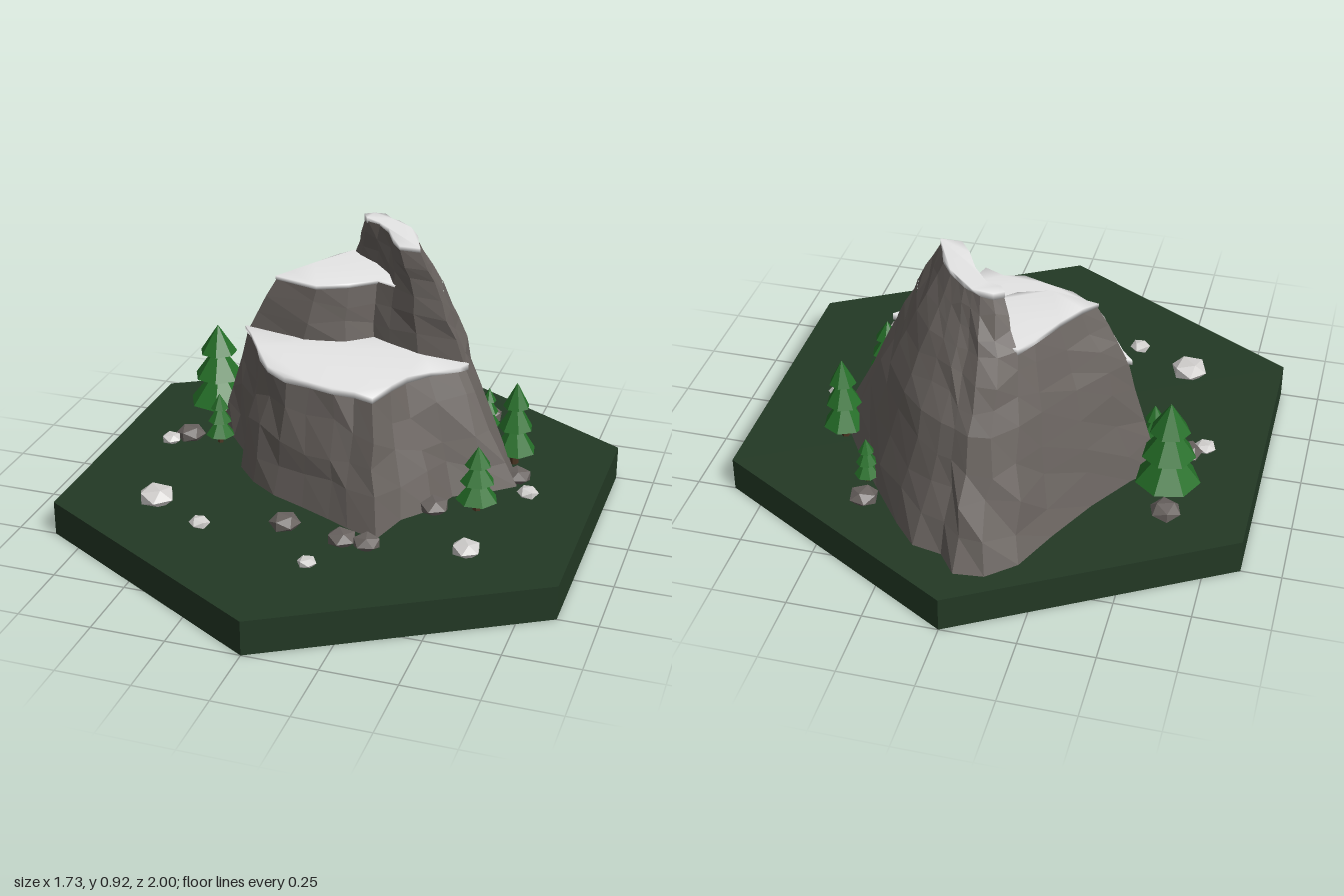
import * as THREE from 'three';
import { mergeVertices } from 'three/addons/utils/BufferGeometryUtils.js';

const mat = (name, color) => Object.assign(new THREE.MeshStandardMaterial({ color }), { name });

export function createModel() {
  const grass = mat('darkGrass', 0x233925);
  const rock = mat('rock', 0x6a6460);
  const snow = mat('snow', 0xf0f0f0);
  const paleStone = mat('paleStone', 0xd2d0ce);
  const greyStone = mat('greyStone', 0x696360);
  const leaf = mat('pineGreen', 0x256f28);
  const bark = mat('bark', 0x4a3522);

  const GROUND = 0.12;
  let seed = 11;
  const rand = () => (seed = (seed * 16807) % 2147483647) / 2147483647;
  const jit = (a) => (rand() - 0.5) * 2 * a;
  const root = new THREE.Group();
  root.name = 'mountainTile';

  const add = (name, geo, material, parent = root) => {
    const m = new THREE.Mesh(geo, material);
    m.name = name;
    parent.add(m);
    return m;
  };
  // Hard-edged facets
  const facet = (geo) => {
    const g = geo.index ? geo.toNonIndexed() : geo;
    g.computeVertexNormals();
    return g;
  };

  // Rock wall between two matching outlines, with roughened rows in between
  function wall(low, high, y0, y1, rows, rough) {
    const n = low.length, pos = [], idx = [];
    for (let r = 0; r <= rows; r++) {
      const inner = r > 0 && r < rows;
      for (let i = 0; i < n; i++) {
        const t = r / rows + (inner ? jit(0.25 / rows) : 0);
        const k = inner ? rough : 0;
        pos.push(
          THREE.MathUtils.lerp(low[i][0], high[i][0], t) + jit(k),
          THREE.MathUtils.lerp(y0, y1, t),
          THREE.MathUtils.lerp(low[i][1], high[i][1], t) + jit(k));
      }
    }
    for (let r = 0; r < rows; r++) {
      for (let i = 0; i < n; i++) {
        const a = r * n + i, b = r * n + (i + 1) % n;
        idx.push(a, b, a + n, b, b + n, a + n);
      }
    }
    const g = new THREE.BufferGeometry();
    g.setAttribute('position', new THREE.Float32BufferAttribute(pos, 3));
    g.setIndex(idx);
    return facet(g);
  }

  // Soft snow slab laid on an outline, slightly overhanging
  function slab(outline, y, thick, grow) {
    const cx = outline.reduce((s, p) => s + p[0], 0) / outline.length;
    const cz = outline.reduce((s, p) => s + p[1], 0) / outline.length;
    const shape = new THREE.Shape(outline.map(([x, z]) =>
      new THREE.Vector2(cx + (x - cx) * grow, -(cz + (z - cz) * grow))));
    let g = new THREE.ExtrudeGeometry(shape, { depth: thick, bevelEnabled: false });
    g.rotateX(-Math.PI / 2);
    g.translate(0, y, 0);
    g.deleteAttribute('uv');
    g.deleteAttribute('normal');
    g = mergeVertices(g);
    const p = g.attributes.position;
    for (let i = 0; i < p.count; i++) p.setY(i, p.getY(i) + jit(0.005));
    g.computeVertexNormals();
    return g;
  }

  // Hexagonal ground
  add('ground', facet(new THREE.CylinderGeometry(1, 1, GROUND, 6).translate(0, GROUND / 2, 0)), grass);

  // Outlines as [x, z], running from the front round by +x
  const foot = [[.05, .32], [.13, .36], [.24, .4], [.28, .25], [.36, .15], [.4, .04], [.52, -.04],
    [.59, -.1], [.55, -.22], [.45, -.38], [.35, -.52], [.23, -.68], [.15, -.77], [.05, -.79],
    [-.01, -.87], [-.11, -.86], [-.2, -.78], [-.27, -.62], [-.36, -.44], [-.46, -.28],
    [-.53, -.2], [-.47, -.15], [-.38, -.04], [-.36, .06], [-.28, .15], [-.18, .22], [-.06, .27]];
  const ledge = [[.03, .21], [.1, .2], [.17, .23], [.2, .12], [.23, .05], [.29, -.02], [.37, -.09],
    [.39, -.12], [.36, -.24], [.33, -.38], [.24, -.52], [.16, -.6], [.08, -.65], [.03, -.67],
    [-.02, -.7], [-.09, -.69], [-.16, -.61], [-.21, -.52], [-.29, -.38], [-.37, -.26],
    [-.42, -.19], [-.38, -.14], [-.32, -.04], [-.28, .04], [-.23, .1], [-.15, .16], [-.06, .18]];
  const cliffFoot = [[-.2, -.14], [-.05, -.17], [.03, -.24], [.1, -.2], [.22, -.14]];
  const shoulder = [[.29, -.17], [.27, -.26], [.24, -.36], [.17, -.46], [.11, -.5], [.06, -.53],
    [.02, -.54], [-.02, -.57], [-.08, -.56], [-.13, -.51], [-.17, -.45], [-.22, -.34],
    [-.27, -.25], [-.31, -.2], [-.15, -.16], [-.05, -.2], [.03, -.27], [.1, -.24], [.19, -.18]];
  const ridgeInner = [[-.1, -.48], [-.02, -.42], [.06, -.33], [.1, -.24], [.19, -.18]];
  const crest = [[.2, -.2], [.18, -.25], [.16, -.31], [.12, -.37], [.09, -.4], [.06, -.43],
    [.03, -.45], [0, -.47], [-.04, -.47], [-.07, -.45], [-.05, -.42], [0, -.4], [.05, -.34],
    [.09, -.26], [.13, -.2]];

  // Three rock tiers
  add('lowerTier', wall(foot, ledge, GROUND, 0.53, 4, 0.011), rock);
  add('middleTier', wall([...ledge.slice(7, 21), ...cliffFoot], shoulder, 0.53, 0.74, 3, 0.008), rock);
  add('summitRidge', wall([...shoulder.slice(0, 10), ...ridgeInner], crest, 0.735, 0.9, 3, 0.006), rock);

  // Snow on each tier
  const back = cliffFoot.map(([x, z]) => [x, z - 0.03]).reverse();
  add('lowerSnow', slab([...ledge.slice(20), ...ledge.slice(0, 8), ...back], 0.525, 0.02, 1.03), snow);
  add('middleSnow', slab([...shoulder.slice(9, 18), [.08, -.34], [0, -.44], [-.08, -.5]], 0.733, 0.017, 1.03), snow);
  add('summitSnow', slab(crest, 0.895, 0.017, 1.04), snow);

  // Pine trees: x, z, skirt radius, height
  const trees = [[-.585, -.31, .11, .36], [-.5, -.1, .052, .19], [.54, -.27, .075, .31],
    [.5, .1, .072, .235], [.39, -.49, .043, .17]];
  trees.forEach(([x, z, r, h]) => {
    const tree = new THREE.Group();
    tree.name = 'pineTree';
    tree.position.set(x, GROUND, z);
    tree.rotation.y = rand() * 6;
    root.add(tree);
    add('trunk', facet(new THREE.CylinderGeometry(r * 0.15, r * 0.2, h * 0.4, 6).translate(0, h * 0.2, 0)), bark, tree);
    [[0.17, 0.56, 1], [0.45, 0.8, 0.82], [0.71, 1, 0.62]].forEach(([a, b, s]) => {
      const cone = new THREE.ConeGeometry(r * s, h * (b - a), 7);
      add('branches', facet(cone.translate(0, h * (a + b) / 2, 0)), leaf, tree);
    });
  });

  // Scattered boulders: x, z, radius
  const scatter = (name, list, material) => list.forEach(([x, z, r]) => {
    const b = add(name, new THREE.IcosahedronGeometry(r, 0), material);
    b.scale.y = 0.6;
    b.rotation.y = rand() * 6;
    b.position.set(x, GROUND + r * 0.3, z);
  });
  scatter('paleBoulder', [[-.54, .38, .066], [-.34, .49, .036], [.08, .62, .033], [.54, .39, .052],
    [.64, -.05, .038], [-.67, -.05, .038]], paleStone);
  scatter('greyBoulder', [[-.07, .41, .054], [.14, .45, .053], [.225, .45, .05], [.365, .15, .056],
    [.58, -.15, .052], [.37, -.59, .052], [-.615, -.1, .054], [-.6, -.42, .054]], greyStone);

  return root;
}
